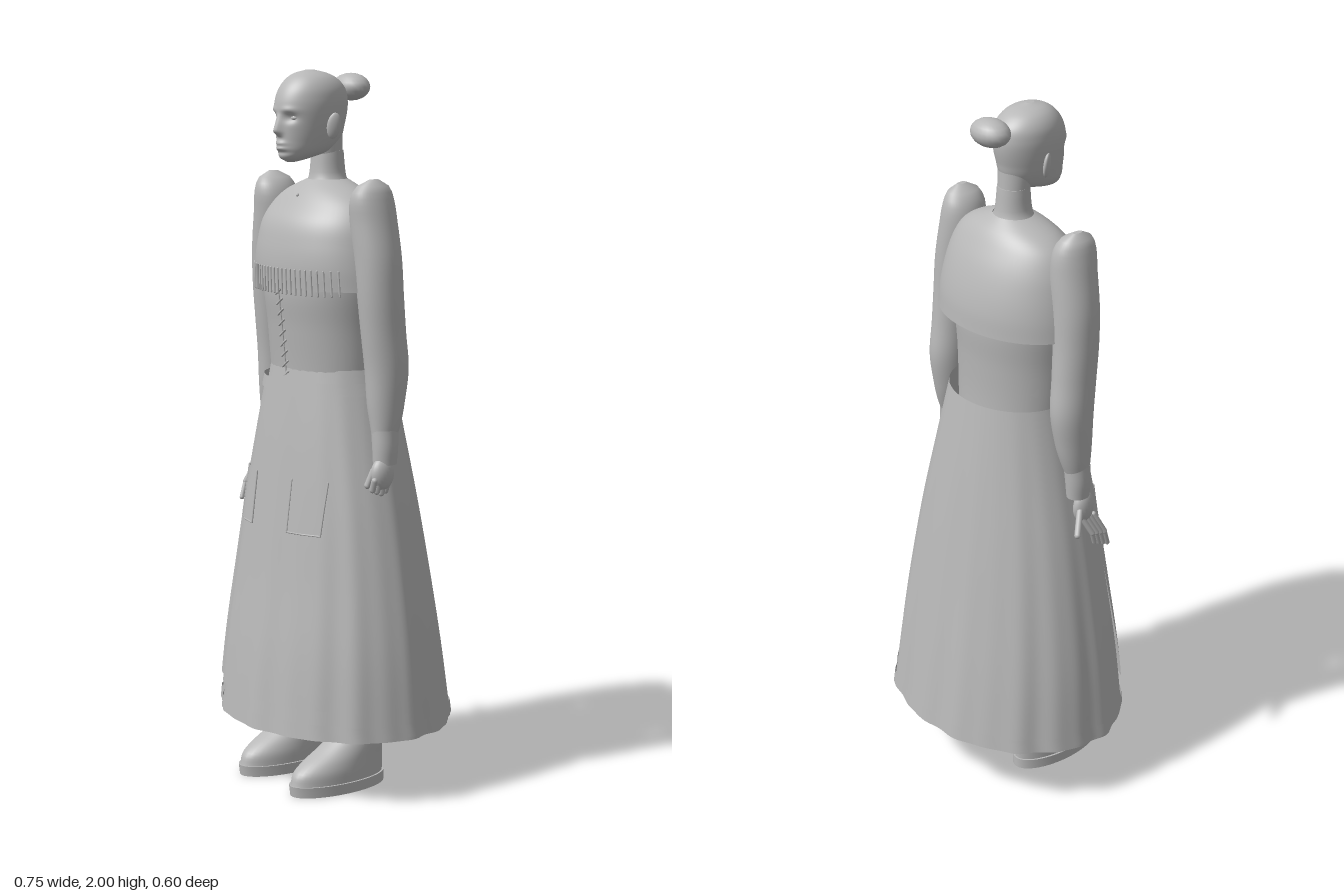
import * as THREE from 'three';

const grey = new THREE.MeshStandardMaterial({ color: 0xb8b8b8, side: THREE.DoubleSide });
grey.name = 'clay grey';

const mesh = (name, geometry) => {
  const m = new THREE.Mesh(geometry, grey);
  m.name = name;
  return m;
};

// Smooth interpolation of one column of a section table [y, centreX, halfWidth, frontZ, backZ]
function sample(rows, y, k) {
  let i = 0;
  while (i < rows.length - 2 && y > rows[i + 1][0]) i++;
  const slope = (j) => {
    const a = rows[Math.max(j - 1, 0)], b = rows[Math.min(j + 1, rows.length - 1)];
    return (b[k] - a[k]) / (b[0] - a[0]);
  };
  const a = rows[i], b = rows[i + 1], h = b[0] - a[0];
  const t = THREE.MathUtils.clamp((y - a[0]) / h, 0, 1), t2 = t * t, t3 = t2 * t;
  return (2 * t3 - 3 * t2 + 1) * a[k] + (t3 - 2 * t2 + t) * h * slope(i)
    + (3 * t2 - 2 * t3) * b[k] + (t3 - t2) * h * slope(i + 1);
}

// Surface of stacked ovals: angle 0 faces the front, PI/2 faces +x
const surface = (rows, wave = () => 0) => (a, y, off = 0) => {
  const zf = sample(rows, y, 3), zb = sample(rows, y, 4), w = 1 + wave(a, y);
  const rx = Math.max(sample(rows, y, 2), 0.001) + off, rz = (zf - zb) / 2 + off;
  return new THREE.Vector3(sample(rows, y, 1) + rx * w * Math.sin(a), y, (zf + zb) / 2 + rz * w * Math.cos(a));
};

// Grid of points from fn(u, v), u and v from 0 to 1; optionally closed round and capped
function grid(fn, nu, nv, closed = true, capped = false) {
  const pos = [], idx = [], cols = closed ? nu : nu + 1;
  for (let j = 0; j <= nv; j++)
    for (let i = 0; i < cols; i++) pos.push(...fn(i / nu, j / nv).toArray());
  for (let j = 0; j < nv; j++)
    for (let i = 0; i < nu; i++) {
      const a = j * cols + i, b = j * cols + (i + 1) % cols;
      idx.push(a, b, a + cols, b, b + cols, a + cols);
    }
  if (capped) [0, nv].forEach((j) => {
    const c = new THREE.Vector3(), start = pos.length / 3;
    for (let i = 0; i < cols; i++) {
      const p = fn(i / nu, j / nv);
      c.addScaledVector(p, 1 / cols);
      pos.push(p.x, p.y, p.z);
    }
    pos.push(c.x, c.y, c.z);
    for (let i = 0; i < cols; i++) {
      const a = start + i, b = start + (i + 1) % cols;
      j ? idx.push(a, b, start + cols) : idx.push(b, a, start + cols);
    }
  });
  const g = new THREE.BufferGeometry();
  g.setAttribute('position', new THREE.Float32BufferAttribute(pos, 3));
  g.setIndex(idx);
  g.computeVertexNormals();
  return g;
}

const loft = (name, rows, { nu = 40, nv = 24, wave, capped = false } = {}) => {
  const s = surface(rows, wave), y0 = rows[0][0], y1 = rows[rows.length - 1][0];
  return mesh(name, grid((u, v) => s(u * Math.PI * 2, y0 + (y1 - y0) * v), nu, nv, true, capped));
};

// Rounded rod between two points
function rod(name, a, b, r) {
  const p = new THREE.Vector3(...a), q = new THREE.Vector3(...b), d = q.clone().sub(p);
  const m = mesh(name, new THREE.CapsuleGeometry(r, d.length(), 4, 8));
  m.position.copy(p).add(q).multiplyScalar(0.5);
  m.quaternion.setFromUnitVectors(new THREE.Vector3(0, 1, 0), d.normalize());
  return m;
}

function ball(name, c, r, nu = 24, nv = 16) {
  const m = mesh(name, new THREE.SphereGeometry(1, nu, nv));
  m.position.set(...c);
  m.scale.set(...r);
  return m;
}

function makeHead() {
  const g = new THREE.Group();
  g.name = 'head';
  const rows = [[1.752, 0, 0.012, 0.155, 0.125], [1.762, 0, 0.033, 0.172, 0.08], [1.78, 0, 0.052, 0.179, 0.02],
    [1.81, 0, 0.065, 0.18, -0.015], [1.85, 0, 0.075, 0.181, -0.027], [1.89, 0, 0.081, 0.184, -0.035],
    [1.92, 0, 0.082, 0.18, -0.035], [1.95, 0, 0.077, 0.167, -0.026], [1.975, 0, 0.062, 0.146, -0.002],
    [1.99, 0, 0.04, 0.122, 0.028], [1.999, 0, 0.008, 0.09, 0.065]];
  const s = surface(rows), bump = (d, w) => Math.exp(-(d * d) / (w * w));
  // Face relief: nose, brows, eye sockets, lips and chin
  const relief = ({ x, y }) => {
    const ax = Math.abs(x);
    const nose = y > 1.835 ? Math.max(0, 1 - (y - 1.835) / 0.05) : Math.max(0, 1 - (1.835 - y) / 0.016);
    return 0.022 * nose * bump(x, 0.012) + 0.004 * bump(ax - 0.034, 0.022) * bump(y - 1.893, 0.008)
      - 0.012 * bump(ax - 0.033, 0.017) * bump(y - 1.872, 0.013)
      + 0.007 * bump(x, 0.02) * (bump(y - 1.803, 0.006) + bump(y - 1.789, 0.006))
      - 0.003 * bump(x, 0.03) * bump(y - 1.778, 0.006);
  };
  g.add(mesh('face and skull', grid((u, v) => {
    const p = s(u * Math.PI * 2, 1.752 + 0.247 * (1 - Math.cos(Math.PI * v)) / 2);
    if (p.z > 0.1) p.z += relief(p);
    return p;
  }, 112, 90, true, true)));
  for (const k of [-1, 1]) {
    g.add(ball('eye', [k * 0.033, 1.872, 0.15], [0.014, 0.009, 0.014]));
    const ear = ball('ear', [k * 0.085, 1.85, 0.06], [0.009, 0.036, 0.019]);
    ear.rotation.set(-0.15, k * -0.5, k * -0.2);
    g.add(ear);
  }
  g.add(ball('hair bun', [0, 1.95, -0.064], [0.062, 0.038, 0.047], 24, 10));
  return g;
}

function makeArm(k) {
  const g = new THREE.Group();
  g.name = k > 0 ? 'leftArm' : 'rightArm';
  const rows = (list) => list.map(([y, x, z, rx, rz]) => [y, k * x, rx, z + rz, z - rz]);
  g.add(loft('sleeve', rows([[1.02, 0.258, 0.018, 0.032, 0.038], [1.05, 0.256, 0.014, 0.038, 0.045],
    [1.1, 0.252, 0.01, 0.046, 0.054], [1.2, 0.249, 0.005, 0.054, 0.064], [1.3, 0.246, 0.014, 0.056, 0.065],
    [1.4, 0.243, 0.022, 0.059, 0.066], [1.5, 0.236, 0.026, 0.062, 0.067], [1.6, 0.222, 0.03, 0.06, 0.067],
    [1.66, 0.22, 0.034, 0.05, 0.064], [1.695, 0.225, 0.035, 0.033, 0.047], [1.712, 0.23, 0.035, 0.008, 0.015]]),
  { nv: 40, capped: true }));
  g.add(loft('cuff', rows([[0.94, 0.262, 0.02, 0.03, 0.034], [0.985, 0.262, 0.019, 0.033, 0.037],
    [1.035, 0.258, 0.018, 0.034, 0.039]]), { nv: 6, capped: true }));
  if (k > 0) {
    // Relaxed, half-closed hand
    g.add(ball('palm', [0.27, 0.915, 0.035], [0.024, 0.045, 0.036]));
    for (let i = 0; i < 4; i++)
      g.add(rod('finger', [0.278, 0.9, 0.02 + i * 0.016], [0.268, 0.862 + Math.abs(i - 1) * 0.006, 0.022 + i * 0.015], 0.009));
    g.add(rod('thumb', [0.262, 0.925, 0.06], [0.255, 0.885, 0.075], 0.009));
  } else {
    // Open hand with spread fingers
    g.add(ball('palm', [-0.274, 0.905, 0.03], [0.022, 0.05, 0.034]));
    for (let i = 0; i < 4; i++) {
      const knuckle = [-0.282, 0.872, 0.02 + i * 0.014], mid = [-0.298, 0.825 - i * 0.004, 0.042 + i * 0.016];
      g.add(rod('finger', knuckle, mid, 0.008));
      g.add(rod('fingertip', mid, [-0.294, 0.79 - i * 0.007, 0.055 + i * 0.017], 0.007));
    }
    g.add(rod('thumb', [-0.283, 0.905, 0.008], [-0.318, 0.855, -0.034], 0.009));
  }
  return g;
}

function makeFoot(k) {
  const g = new THREE.Group();
  g.name = k > 0 ? 'leftFoot' : 'rightFoot';
  const x = k * 0.122;
  g.add(loft('sole', [[0, x, 0.071, 0.232, -0.08], [0.03, x, 0.072, 0.236, -0.08]], { nv: 1, capped: true }));
  g.add(loft('shoe', [[0.028, x, 0.066, 0.232, -0.075], [0.06, x, 0.066, 0.222, -0.076], [0.085, x, 0.064, 0.19, -0.076],
    [0.115, x, 0.061, 0.135, -0.075], [0.145, x, 0.057, 0.09, -0.073], [0.17, x, 0.054, 0.068, -0.07]],
  { nv: 20, capped: true }));
  g.add(loft('leg', [[0.14, x, 0.055, 0.066, -0.07], [0.3, x, 0.058, 0.06, -0.07], [0.7, x, 0.065, 0.07, -0.07]], { nv: 8 }));
  return g;
}

function makeSkirt() {
  const g = new THREE.Group();
  g.name = 'dress skirt';
  const rows = [[0.185, 0, 0.37, 0.29, -0.3], [0.4, 0, 0.35, 0.265, -0.27], [0.6, 0, 0.32, 0.237, -0.24],
    [0.8, 0, 0.282, 0.212, -0.21], [1, 0, 0.234, 0.187, -0.179], [1.19, 0, 0.187, 0.16, -0.148]];
  const wave = (a, y) => {
    const t = (1.25 - y) / 1.06;
    return t * (0.01 * Math.sin(13 * a + 1) + 0.007 * Math.sin(21 * a) + 0.005 * Math.sin(5 * a + 2));
  };
  const s = surface(rows, wave), TAU = Math.PI * 2;
  const at = (x, y, off) => s(Math.asin(x / sample(rows, y, 2)), y, off);
  g.add(loft('skirt', rows, { nu: 160, nv: 24, wave }));
  g.add(mesh('hem band', grid((u, v) => s(u * TAU, 0.195 + 0.035 * v, 0.004), 160, 1)));
  // Apron with waistband and two patch pockets
  g.add(mesh('apron', grid((u, v) => {
    const y = 0.27 + 0.88 * v;
    return s((u * 2 - 1) * (0.83 + 0.5 * v), y, 0.008);
  }, 90, 24, false)));
  g.add(mesh('waistband', grid((u, v) => s((u * 2 - 1) * 1.4, 1.122 + 0.034 * v, 0.014), 60, 2, false)));
  for (const k of [-1, 1]) {
    g.add(mesh('pocket', grid((u, v) => at(k * 0.128 + (u - 0.5) * 0.1, 0.745 + 0.145 * v, 0.011), 12, 8, false)));
    const seam = [[0.078, 0.89], [0.078, 0.82], [0.078, 0.745], [0.128, 0.745], [0.178, 0.745], [0.178, 0.82], [0.178, 0.89]]
      .map(([x, y]) => at(k * x, y, 0.011));
    for (let i = 0; i < 6; i++) g.add(rod('pocket seam', seam[i].toArray(), seam[i + 1].toArray(), 0.0025));
  }
  return g;
}

function makeBodice() {
  const g = new THREE.Group();
  g.name = 'bodice';
  const body = [[1.1, 0, 0.175, 0.155, -0.115], [1.2, 0, 0.18, 0.162, -0.113], [1.3, 0, 0.183, 0.172, -0.116],
    [1.42, 0, 0.19, 0.183, -0.122], [1.55, 0, 0.18, 0.155, -0.1]];
  const cape = [[1.41, 0, 0.243, 0.192, -0.155], [1.47, 0, 0.238, 0.194, -0.15], [1.53, 0, 0.228, 0.187, -0.137],
    [1.59, 0, 0.212, 0.17, -0.116], [1.64, 0, 0.182, 0.135, -0.09], [1.67, 0, 0.14, 0.11, -0.07],
    [1.69, 0, 0.09, 0.088, -0.05], [1.702, 0, 0.058, 0.07, -0.036]];
  const front = surface(body), yoke = surface(cape);
  g.add(loft('torso', body));
  g.add(loft('shoulder cape', cape, { nu: 64, nv: 30 }));
  g.add(loft('collar', [[1.685, 0, 0.066, 0.078, -0.042], [1.71, 0, 0.051, 0.069, -0.034],
    [1.78, 0, 0.045, 0.062, -0.026]], { nv: 8, capped: true }));
  g.add(loft('neck', [[1.76, 0, 0.043, 0.06, -0.024], [1.83, 0, 0.05, 0.08, -0.022]], { nv: 4 }));
  // Fringe along the front edge of the cape
  for (let i = 0; i < 24; i++) {
    const a = Math.asin((-0.195 + i * 0.017) / 0.245), top = yoke(a, 1.465, 0.001), end = yoke(a, 1.41, 0.001);
    end.y = 1.398;
    g.add(rod('fringe strand', top.toArray(), end.toArray(), 0.0028));
  }
  // Front closure with slanted lacing
  for (let i = 0; i < 9; i++) {
    const y = 1.16 + i * 0.029;
    g.add(rod('lace', front(-0.07, y, 0.002).toArray(), front(0.07, y + 0.018, 0.002).toArray(), 0.003));
    g.add(rod('closure seam', front(0, y, 0.001).toArray(), front(0, y + 0.029, 0.001).toArray(), 0.002));
  }
  g.add(ball('top button', [0, 1.66, 0.12], [0.005, 0.005, 0.005], 10, 8));
  return g;
}

export function createModel() {
  const model = new THREE.Group();
  model.name = 'woman in long dress';
  model.add(makeHead(), makeBodice(), makeSkirt());
  for (const k of [-1, 1]) model.add(makeArm(k), makeFoot(k));
  return model;
}
